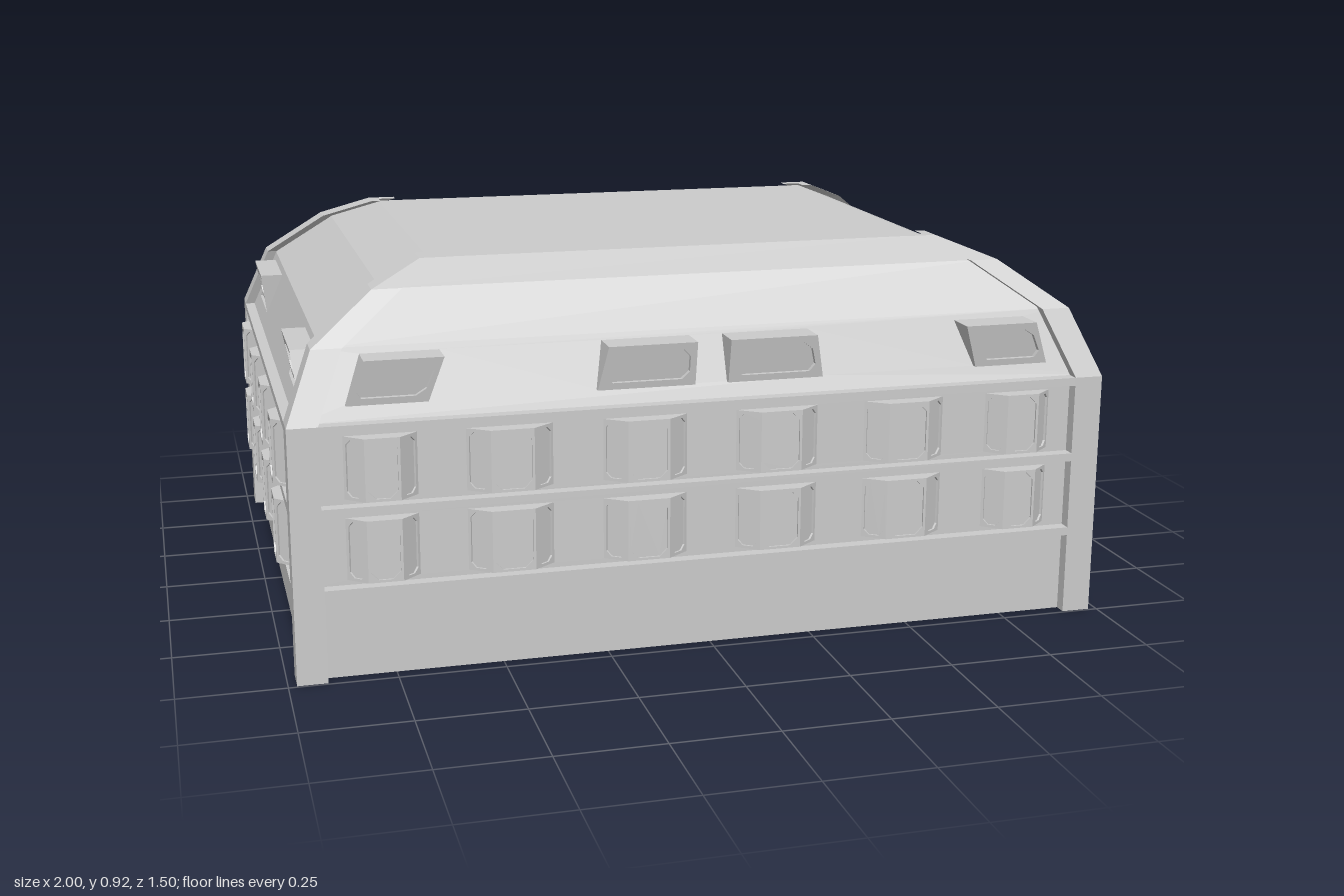
import * as THREE from 'three';

const mat = new THREE.MeshStandardMaterial({ color: 0xcccccc, flatShading: true, side: THREE.DoubleSide });

// hip outline: half width, half depth, height at each level
const LEVELS = [[0.98, 0.745, 0], [0.98, 0.745, 0.6], [0.915, 0.68, 0.76], [0.765, 0.585, 0.87], [0.64, 0.49, 0.92]];
const INSET_X = 0.025, INSET_Z = 0.03;
const ROOF = LEVELS.slice(1).map(([x, z, y], i) => [x - INSET_X, z - INSET_Z, i ? y - 0.005 : y]);

function mesh(geometry, name) {
  const m = new THREE.Mesh(geometry, mat);
  m.name = name;
  return m;
}
const toShape = (pts) => new THREE.Shape(pts.map(([x, y]) => new THREE.Vector2(x, y)));
const toPath = (pts) => new THREE.Path(pts.map(([x, y]) => new THREE.Vector2(x, y)));
const rect = (x0, x1, y0, y1) => [[x0, y0], [x1, y0], [x1, y1], [x0, y1]];

// shrink a quad by a margin and cut its corners
function chamfered(quad, margin, cut) {
  const xs = quad.map((p) => p[0]), ys = quad.map((p) => p[1]);
  const cx = xs.reduce((a, b) => a + b) / 4, cy = ys.reduce((a, b) => a + b) / 4;
  const sx = 1 - (2 * margin) / (Math.max(...xs) - Math.min(...xs));
  const sy = 1 - (2 * margin) / (Math.max(...ys) - Math.min(...ys));
  const q = quad.map(([x, y]) => [cx + (x - cx) * sx, cy + (y - cy) * sy]);
  const out = [];
  q.forEach((p, i) => {
    for (const n of [q[(i + 3) % 4], q[(i + 1) % 4]]) {
      const t = cut / Math.hypot(n[0] - p[0], n[1] - p[1]);
      out.push([p[0] + (n[0] - p[0]) * t, p[1] + (n[1] - p[1]) * t]);
    }
  });
  return out;
}

// frame with a recessed pane, front surface at z = 0
function framedPane(quad, margin, cut, depth, name) {
  const g = new THREE.Group();
  g.name = name;
  const hole = chamfered(quad, margin, cut);
  const frame = toShape(quad);
  frame.holes.push(toPath(hole));
  const fg = new THREE.ExtrudeGeometry(frame, { depth, bevelEnabled: false }).translate(0, 0, -depth);
  const pg = new THREE.ShapeGeometry(toShape(hole)).translate(0, 0, -depth);
  g.add(mesh(fg, 'windowFrame'), mesh(pg, 'windowPane'));
  return g;
}

// three-sided bay window, open at the back
function bayWindow(w, c, d, h) {
  const g = new THREE.Group();
  g.name = 'bayWindow';
  const front = framedPane(rect(-c, c, -h, h), 0.006, 0.018, 0.005, 'bayFront');
  front.position.z = d;
  g.add(front);
  const half = Math.hypot(w - c, d) / 2;
  for (const s of [-1, 1]) {
    const side = framedPane(rect(-half, half, -h, h), 0.007, 0.012, 0.005, 'baySide');
    side.position.set(s * (w + c) / 2, 0, d / 2);
    side.rotation.y = s * Math.atan2(d, w - c);
    g.add(side);
    const cap = new THREE.ShapeGeometry(toShape([[-w, 0], [w, 0], [c, -d], [-c, -d]].reverse()));
    g.add(mesh(cap.rotateX(-Math.PI / 2).translate(0, s * h, 0), 'bayCap'));
  }
  return g;
}

// wedge dormer standing out of the roof slope, open at the back
function dormer(quad, slopeZ, outZ) {
  const g = new THREE.Group();
  g.name = 'dormer';
  const y0 = quad[0][1], y1 = quad[2][1], lean = 0.02;
  const faceZ = (y) => outZ - lean * (y1 - y) / (y1 - y0);
  const face = framedPane(quad, 0.016, 0.018, 0.012, 'dormerFace');
  face.children.forEach((m) => {
    const p = m.geometry.attributes.position;
    for (let i = 0; i < p.count; i++) p.setZ(i, p.getZ(i) + faceZ(p.getY(i)));
  });
  g.add(face);
  const pos = [], idx = [];
  quad.forEach(([x, y]) => pos.push(x, y, slopeZ(y), x, y, faceZ(y)));
  for (let i = 0; i < 4; i++) {
    const a = i * 2, b = ((i + 1) % 4) * 2;
    idx.push(a, b, b + 1, a, b + 1, a + 1);
  }
  const hood = new THREE.BufferGeometry();
  hood.setAttribute('position', new THREE.Float32BufferAttribute(pos, 3));
  hood.setIndex(idx);
  hood.computeVertexNormals();
  g.add(mesh(hood, 'dormerHood'));
  return g;
}

// one facade in its own frame: x along the wall, z outward
function facade(o) {
  const g = new THREE.Group();
  g.name = o.name;
  const a = o.axis, b = 1 - a;
  const L = LEVELS[0][a] - 0.07, D = LEVELS[0][b], wallZ = ROOF[0][b];

  // plinth and ledges
  const plinth = new THREE.PlaneGeometry(2 * L + 0.06, 0.2).translate(0, 0.1, wallZ);
  g.add(mesh(plinth, 'plinthPanel'));
  for (const y of [0.21, 0.4, 0.59]) {
    const ledge = new THREE.BoxGeometry(2 * L, 0.02, D - wallZ);
    g.add(mesh(ledge.translate(0, y, (D + wallZ) / 2), 'ledge'));
  }

  // two storeys of bay windows
  for (const y of [0.305, 0.495]) {
    const wall = toShape(rect(-L - 0.03, L + 0.03, y - 0.085, y + 0.085));
    for (const [x, w, c] of o.bays) {
      for (const s of [-1, 1]) {
        wall.holes.push(toPath(rect(s * x - w, s * x + w, y - o.bayH, y + o.bayH)));
        const bay = bayWindow(w, c, o.bayOut - wallZ, o.bayH);
        bay.position.set(s * x, y, wallZ);
        g.add(bay);
      }
    }
    g.add(mesh(new THREE.ShapeGeometry(wall).translate(0, 0, wallZ), 'storeyWall'));
  }

  // roof slopes, the lowest one pierced by the dormers
  const quads = o.dormers.flatMap((q) => [q, q.map(([x, y]) => [-x, y]).reverse()])
    .map((q) => (q[0][1] < q[2][1] ? q : [q[2], q[3], q[0], q[1]]));
  for (let i = 0; i < 3; i++) {
    const lo = ROOF[i], hi = ROOF[i + 1];
    const slopeZ = (y) => lo[b] + (hi[b] - lo[b]) * (y - lo[2]) / (hi[2] - lo[2]);
    const slope = toShape([[-lo[a], lo[2]], [lo[a], lo[2]], [hi[a], hi[2]], [-hi[a], hi[2]]]);
    if (i === 0) {
      for (const q of quads) {
        slope.holes.push(toPath(q));
        g.add(dormer(q, slopeZ, o.dormerOut));
      }
    }
    const geo = new THREE.ShapeGeometry(slope);
    const p = geo.attributes.position;
    for (let k = 0; k < p.count; k++) p.setZ(k, slopeZ(p.getY(k)));
    geo.computeVertexNormals();
    g.add(mesh(geo, 'roofSlope'));
  }
  g.rotation.y = o.turn;
  return g;
}

// L-section corner post that continues up the roof hip
function cornerPost() {
  const w = 0.07, section = [[0, 0], [-w, 0], [-w, -INSET_Z], [-INSET_X, -INSET_Z], [-INSET_X, -w], [0, -w]];
  const n = section.length, pos = [], idx = [];
  for (const [x, z, y] of LEVELS) for (const [dx, dz] of section) pos.push(x + dx, y, z + dz);
  for (let l = 0; l < LEVELS.length - 1; l++) {
    for (let i = 0; i < n; i++) {
      const p = l * n + i, q = l * n + (i + 1) % n;
      idx.push(p, p + n, q, q, p + n, q + n);
    }
  }
  const top = (LEVELS.length - 1) * n;
  for (const [i, j] of [[4, 5], [5, 0], [0, 1], [1, 2]]) {
    idx.push(3, i, j, top + 3, top + j, top + i);
  }
  const geo = new THREE.BufferGeometry();
  geo.setAttribute('position', new THREE.Float32BufferAttribute(pos, 3));
  geo.setIndex(idx);
  geo.computeVertexNormals();
  return geo;
}

export function createModel() {
  const model = new THREE.Group();
  model.name = 'building';

  const long = {
    axis: 0, bayH: 0.073, bayOut: 0.752, dormerOut: 0.733,
    bays: [[0.16, 0.1, 0.05], [0.478, 0.1, 0.05], [0.772, 0.083, 0.04]],
    dormers: [
      [[0.66, 0.635], [0.845, 0.635], [0.805, 0.74], [0.625, 0.74]],
      [[0.04, 0.635], [0.272, 0.635], [0.25, 0.74], [0.04, 0.74]],
    ],
  };
  const short = {
    axis: 1, bayH: 0.078, bayOut: 1.0, dormerOut: 0.953,
    bays: [[0.165, 0.085, 0.042], [0.498, 0.087, 0.042]],
    dormers: [[[0.36, 0.635], [0.61, 0.635], [0.58, 0.74], [0.345, 0.74]]],
  };
  model.add(facade({ ...long, name: 'frontFacade', turn: 0 }));
  model.add(facade({ ...long, name: 'backFacade', turn: Math.PI }));
  model.add(facade({ ...short, name: 'leftFacade', turn: Math.PI / 2 }));
  model.add(facade({ ...short, name: 'rightFacade', turn: -Math.PI / 2 }));

  // flat roof top
  const [tx, tz, ty] = ROOF[3];
  const flat = new THREE.PlaneGeometry(2 * tx, 2 * tz).rotateX(-Math.PI / 2).translate(0, ty, 0);
  model.add(mesh(flat, 'roofTop'));

  const post = cornerPost();
  for (const sx of [-1, 1]) {
    for (const sz of [-1, 1]) {
      const m = mesh(post, 'cornerPost');
      m.scale.set(sx, 1, sz);
      model.add(m);
    }
  }
  return model;
}
